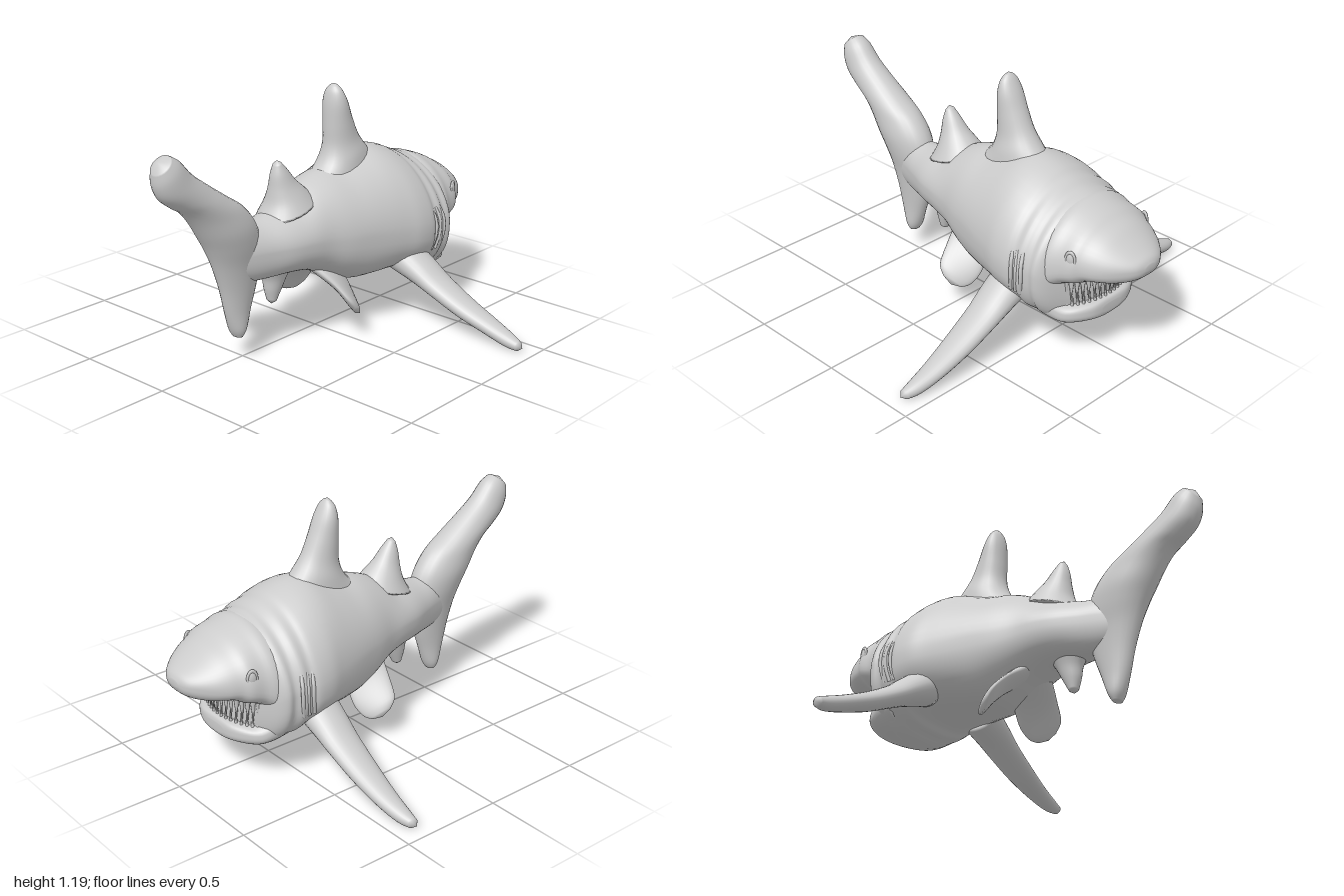
import * as THREE from 'three';

const V = (x, y, z) => new THREE.Vector3(x, y, z);
const material = new THREE.MeshStandardMaterial({ color: 0xcccccc });

// Smooth rows of numbers with a Catmull-Rom spline, n steps per span
function smooth(rows, n) {
  const at = i => rows[Math.min(Math.max(i, 0), rows.length - 1)];
  const out = [];
  for (let i = 0; i < rows.length - 1; i++) {
    for (let k = 0; k < n; k++) {
      const t = k / n;
      out.push(rows[i].map((p1, j) => {
        const p0 = at(i - 1)[j], p2 = at(i + 1)[j], p3 = at(i + 2)[j];
        const a = 2 * p0 - 5 * p1 + 4 * p2 - p3, b = 3 * p1 - p0 - 3 * p2 + p3;
        return 0.5 * (2 * p1 + (p2 - p0) * t + a * t * t + b * t * t * t);
      }));
    }
  }
  out.push(rows[rows.length - 1]);
  return out;
}

// Skin closed rings, with a pole at each end; faces are turned outwards
function skin(name, rings, startPole, endPole) {
  const m = rings[0].length, points = [...rings.flat(), startPole, endPole];
  const s = points.length - 2, e = s + 1, last = (rings.length - 1) * m;
  const index = [];
  for (let j = 0; j < m; j++) {
    const k = (j + 1) % m;
    index.push(s, k, j, e, last + j, last + k);
    for (let i = 0; i < last; i += m) {
      index.push(i + j, i + k, i + m + j, i + k, i + m + k, i + m + j);
    }
  }
  let volume = 0;
  const cross = V(0, 0, 0);
  for (let i = 0; i < index.length; i += 3) {
    cross.crossVectors(points[index[i + 1]], points[index[i + 2]]);
    volume += points[index[i]].dot(cross);
  }
  if (volume < 0) index.reverse();
  const geometry = new THREE.BufferGeometry().setFromPoints(points);
  geometry.setIndex(index);
  geometry.computeVertexNormals();
  const mesh = new THREE.Mesh(geometry, material);
  mesh.name = name;
  return mesh;
}

// Body-like loft along z; rows are [z, top, bottom, halfWidth, widestY]
function trunk(name, rows, topPower, bottomPower) {
  const rings = smooth(rows, 4).map(([z, top, bottom, w, mid]) =>
    Array.from({ length: 48 }, (_, j) => {
      const a = j / 48 * Math.PI * 2, c = Math.cos(a), s = Math.sin(a);
      const p = s > 0 ? topPower : bottomPower;
      const h = (s > 0 ? top - mid : mid - bottom) * Math.abs(s) ** p;
      return V(Math.sign(c) * w * Math.abs(c) ** p, mid + Math.sign(s) * h, z);
    }));
  const pole = r => V(0, r[4], r[0]);
  return skin(name, rings, pole(rows[0]), pole(rows[rows.length - 1]));
}

// Fin loft; rows are [front x, y, z, back x, y, z, halfThickness]
function fin(name, rows, tip, side = 1) {
  const fine = smooth(rows, 5);
  const front = fine.map(r => V(r[0] * side, r[1], r[2]));
  const back = fine.map(r => V(r[3] * side, r[4], r[5]));
  const centre = front.map((f, i) => f.clone().lerp(back[i], 0.5));
  const end = V(tip[0] * side, tip[1], tip[2]);
  const rings = fine.map((r, i) => {
    const chord = front[i].clone().sub(centre[i]);
    const along = (centre[i + 1] || end).clone().sub(centre[Math.max(i - 1, 0)]);
    const normal = along.cross(chord).normalize();
    return Array.from({ length: 24 }, (_, j) => {
      const a = j / 24 * Math.PI * 2;
      return centre[i].clone().addScaledVector(chord, Math.cos(a))
        .addScaledVector(normal, r[6] * Math.sin(a));
    });
  });
  return skin(name, rings, centre[0], end);
}

// Upright fin on the centre plane; rows are [front z, y, back z, y, halfThickness]
const uprightFin = (name, rows, tipZ, tipY) =>
  fin(name, rows.map(r => [0, r[1], r[0], 0, r[3], r[2], r[4]]), [0, tipY, tipZ]);

export function createModel() {
  const model = new THREE.Group();
  model.name = 'shark';

  model.add(trunk('body', [
    [-0.75, 0.42, 0.24, 0.06, 0.33], [-0.73, 0.5, 0.2, 0.13, 0.36],
    [-0.70, 0.6, 0.19, 0.21, 0.42], [-0.66, 0.74, 0.175, 0.30, 0.44],
    [-0.62, 0.765, 0.17, 0.34, 0.46], [-0.58, 0.775, 0.175, 0.335, 0.46],
    [-0.54, 0.795, 0.19, 0.358, 0.46], [-0.50, 0.81, 0.2, 0.35, 0.46],
    [-0.46, 0.83, 0.225, 0.365, 0.46], [-0.38, 0.855, 0.24, 0.36, 0.47],
    [-0.30, 0.86, 0.24, 0.335, 0.48], [-0.20, 0.83, 0.235, 0.305, 0.49],
    [-0.10, 0.80, 0.24, 0.275, 0.5], [0, 0.785, 0.28, 0.245, 0.5],
    [0.1, 0.75, 0.33, 0.21, 0.51], [0.2, 0.69, 0.36, 0.19, 0.52],
    [0.3, 0.665, 0.37, 0.165, 0.52], [0.4, 0.645, 0.37, 0.125, 0.52],
    [0.5, 0.64, 0.38, 0.09, 0.52], [0.62, 0.6, 0.42, 0.05, 0.51],
  ], 1.1, 0.8));

  // Overhanging snout and the separate lower jaw leave the mouth open
  model.add(trunk('snout', [
    [-1.0, 0.555, 0.525, 0.03, 0.54], [-0.985, 0.58, 0.495, 0.08, 0.54],
    [-0.95, 0.605, 0.47, 0.13, 0.54], [-0.9, 0.64, 0.455, 0.18, 0.535],
    [-0.85, 0.675, 0.45, 0.215, 0.53], [-0.8, 0.70, 0.44, 0.24, 0.53],
    [-0.76, 0.722, 0.42, 0.268, 0.52], [-0.7, 0.745, 0.40, 0.28, 0.5],
    [-0.64, 0.76, 0.36, 0.305, 0.48], [-0.56, 0.74, 0.34, 0.28, 0.48],
  ], 1.0, 0.75));
  model.add(trunk('lowerJaw', [
    [-0.795, 0.27, 0.23, 0.06, 0.25], [-0.785, 0.295, 0.21, 0.12, 0.25],
    [-0.75, 0.30, 0.195, 0.19, 0.25], [-0.7, 0.305, 0.182, 0.24, 0.25],
    [-0.64, 0.34, 0.175, 0.27, 0.28], [-0.56, 0.36, 0.19, 0.28, 0.3],
  ], 0.6, 0.85));

  // Two curved rows of pointed teeth
  const teeth = new THREE.Group();
  teeth.name = 'teeth';
  const toothGeometry = new THREE.ConeGeometry(0.014, 0.12, 8);
  for (const upper of [true, false]) {
    const count = upper ? 19 : 18;
    for (let i = 0; i < count; i++) {
      const a = (i / (count - 1) - 0.5) * 2.4;
      const tooth = new THREE.Mesh(toothGeometry, material);
      tooth.name = upper ? 'upperTooth' : 'lowerTooth';
      const r = upper ? 1 : 0.95;
      tooth.position.set(0.235 * r * Math.sin(a), upper ? 0.375 : 0.305, -0.62 - 0.155 * r * Math.cos(a));
      if (upper) tooth.rotation.x = Math.PI;
      teeth.add(tooth);
    }
  }
  model.add(teeth);

  model.add(uprightFin('dorsalFin', [
    [-0.40, 0.80, 0.03, 0.74, 0.11], [-0.33, 0.87, -0.05, 0.81, 0.10],
    [-0.275, 0.94, -0.085, 0.89, 0.08], [-0.23, 1.03, -0.088, 0.99, 0.072],
    [-0.195, 1.11, -0.09, 1.09, 0.066], [-0.165, 1.165, -0.10, 1.15, 0.048],
    [-0.145, 1.19, -0.115, 1.18, 0.022],
  ], -0.13, 1.195));
  model.add(uprightFin('rearDorsalFin', [
    [0.05, 0.70, 0.35, 0.62, 0.13], [0.11, 0.755, 0.31, 0.69, 0.095],
    [0.16, 0.80, 0.295, 0.76, 0.065], [0.205, 0.855, 0.288, 0.83, 0.042],
    [0.24, 0.893, 0.275, 0.88, 0.022],
  ], 0.26, 0.902));
  model.add(uprightFin('analFin', [
    [0.17, 0.41, 0.38, 0.41, 0.08], [0.215, 0.345, 0.35, 0.345, 0.055],
    [0.25, 0.28, 0.34, 0.285, 0.04], [0.28, 0.225, 0.325, 0.23, 0.025],
  ], 0.305, 0.21));
  model.add(uprightFin('tailFin', [
    [0.51, 0.12, 0.55, 0.12, 0.03], [0.487, 0.16, 0.572, 0.16, 0.046],
    [0.455, 0.25, 0.60, 0.25, 0.05], [0.42, 0.35, 0.63, 0.37, 0.06],
    [0.40, 0.45, 0.67, 0.49, 0.075], [0.40, 0.56, 0.71, 0.58, 0.095],
    [0.43, 0.66, 0.75, 0.65, 0.105], [0.50, 0.75, 0.80, 0.73, 0.10],
    [0.60, 0.82, 0.85, 0.79, 0.095], [0.70, 0.89, 0.91, 0.83, 0.088],
    [0.80, 0.965, 0.97, 0.88, 0.08], [0.87, 1.04, 0.997, 0.94, 0.07],
    [0.92, 1.07, 1.0, 1.0, 0.05],
  ], 0.975, 1.05));

  for (const side of [1, -1]) {
    const label = side > 0 ? 'left' : 'right';
    model.add(fin(label + 'PectoralFin', [
      [0.22, 0.33, -0.50, 0.22, 0.33, -0.29, 0.09], [0.35, 0.265, -0.497, 0.35, 0.265, -0.305, 0.066],
      [0.45, 0.21, -0.493, 0.45, 0.21, -0.318, 0.052], [0.60, 0.138, -0.485, 0.60, 0.138, -0.335, 0.045],
      [0.75, 0.08, -0.472, 0.75, 0.08, -0.357, 0.038], [0.86, 0.043, -0.452, 0.86, 0.043, -0.37, 0.033],
      [0.92, 0.03, -0.43, 0.92, 0.03, -0.38, 0.023],
    ], [0.943, 0.027, -0.403], side));
    model.add(fin(label + 'PelvicFin', [
      [0.06, 0.31, -0.09, 0.03, 0.40, 0.14, 0.05], [0.11, 0.24, -0.10, 0.12, 0.345, 0.11, 0.035],
      [0.155, 0.175, -0.10, 0.20, 0.29, 0.08, 0.026], [0.20, 0.13, -0.08, 0.27, 0.22, 0.055, 0.022],
      [0.235, 0.12, -0.055, 0.28, 0.17, 0.02, 0.015],
    ], [0.27, 0.135, -0.02], side));

    // Eye with a raised lid
    const eye = new THREE.Group();
    eye.name = label + 'Eye';
    const ball = new THREE.Mesh(new THREE.SphereGeometry(0.02, 20, 14), material);
    ball.name = 'eyeball';
    ball.scale.z = 0.5;
    const lid = new THREE.Mesh(new THREE.TorusGeometry(0.022, 0.006, 8, 24), material);
    lid.name = 'eyelid';
    eye.add(ball, lid);
    eye.scale.y = 1.6;
    eye.position.set(0.252 * side, 0.58, -0.755);
    eye.rotation.y = side * (Math.PI / 2 + 0.3);
    model.add(eye);

    // Gill folds
    for (const z of [-0.555, -0.525, -0.495]) {
      const path = new THREE.CatmullRomCurve3([
        V(0.325 * side, 0.56, z + 0.01), V(0.35 * side, 0.5, z),
        V(0.352 * side, 0.43, z), V(0.335 * side, 0.35, z + 0.015)]);
      const gill = new THREE.Mesh(new THREE.TubeGeometry(path, 16, 0.009, 8), material);
      gill.name = label + 'Gill';
      model.add(gill);
    }
  }
  return model;
}
